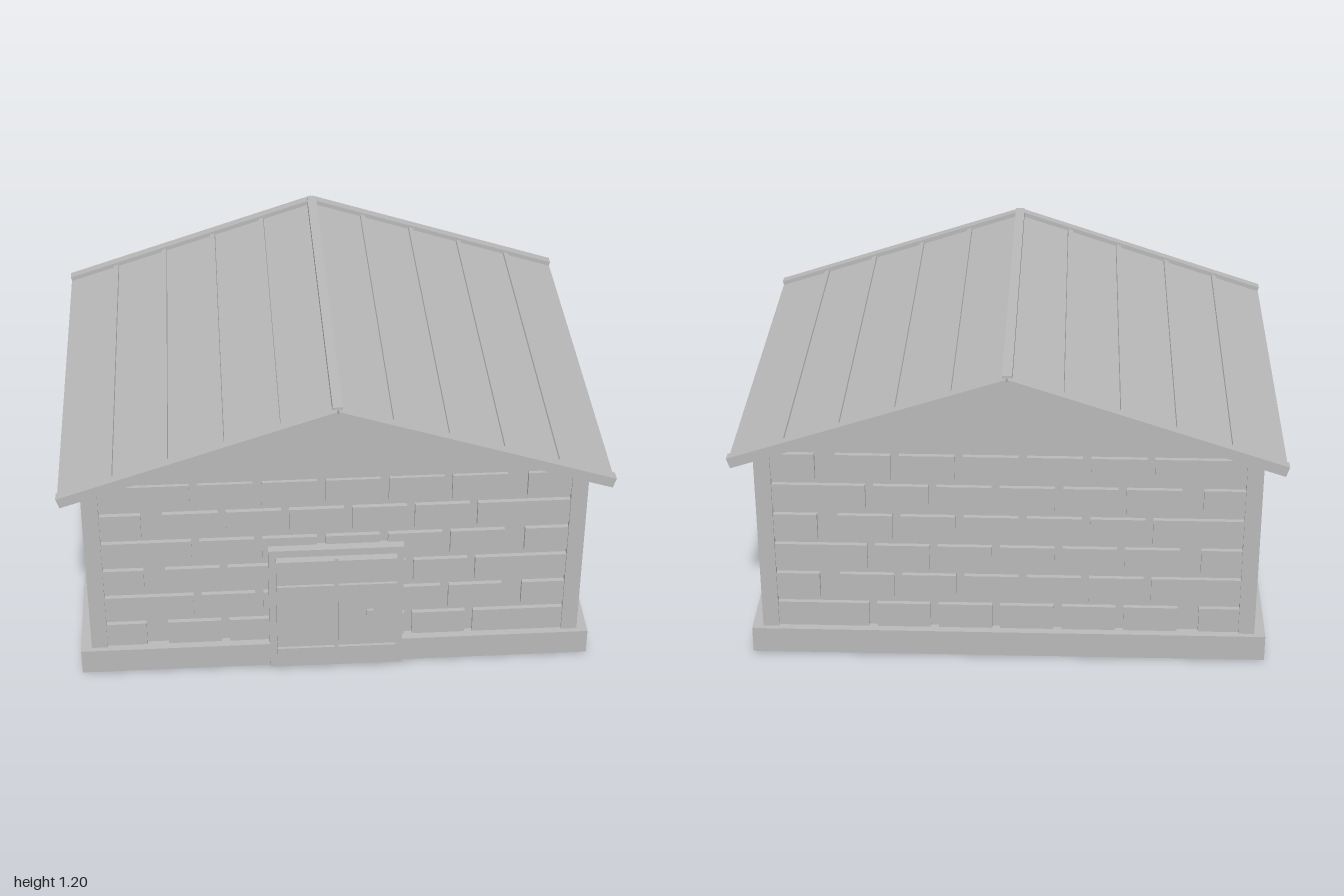
import * as THREE from 'three';

export function createModel() {
  const shed = new THREE.Group();
  shed.name = 'shed';
  const grey = new THREE.MeshStandardMaterial({ color: 0xb8b8b8 });
  grey.name = 'plain grey';

  // Box given by its minimum and maximum on each axis
  const box = (name, x0, x1, y0, y1, z0, z1, parent = shed) => {
    const mesh = new THREE.Mesh(new THREE.BoxGeometry(x1 - x0, y1 - y0, z1 - z0), grey);
    mesh.position.set((x0 + x1) / 2, (y0 + y1) / 2, (z0 + z1) / 2);
    mesh.name = name;
    parent.add(mesh);
    return mesh;
  };

  // Plinth and wall core
  box('plinth', -0.96, 0.96, 0.005, 0.107, -0.73, 0.73);
  box('walls', -0.91, 0.91, 0.107, 0.855, -0.685, 0.685);

  // Corner posts
  for (const s of [-1, 1]) {
    for (const t of [-1, 1]) {
      const post = box('cornerPost', -0.03, 0.03, 0.107, 0.855, -0.0125, 0.0125);
      post.position.x = s * 0.89;
      post.position.z = t * 0.6975;
    }
  }

  // Staggered blocks on the front and back walls
  const rowA = [[-0.86, -0.71], [0.52, 0.86]];
  for (let i = 0; i < 5; i++) rowA.push([-0.63 + i * 0.23, -0.43 + i * 0.23]);
  const rowB = [[-0.86, -0.53], [0.70, 0.86]];
  for (let i = 0; i < 5; i++) rowB.push([-0.5 + i * 0.231, -0.3 + i * 0.231]);
  const blocks = new THREE.Group();
  blocks.name = 'wallBlocks';
  shed.add(blocks);
  for (let r = 0; r < 6; r++) {
    const y = 0.109 + r * 0.1255;
    for (const [x0, x1] of r % 2 ? rowB : rowA) {
      box('block', x0, x1, y, y + 0.1, 0.68, 0.703, blocks);
      box('block', x0, x1, y, y + 0.1, -0.703, -0.68, blocks);
    }
  }

  // Gable prism closing both ends under the roof
  const gable = new THREE.Shape();
  gable.moveTo(-0.92, 0.851);
  gable.lineTo(0.92, 0.851);
  gable.lineTo(0, 1.155);
  gable.closePath();
  const gableGeo = new THREE.ExtrudeGeometry(gable, { depth: 1.42, bevelEnabled: false });
  gableGeo.translate(0, 0, -0.71);
  const gableMesh = new THREE.Mesh(gableGeo, grey);
  gableMesh.name = 'gables';
  shed.add(gableMesh);

  // Roof slopes: local x runs down the slope from the ridge
  const angle = Math.atan(0.33);
  for (const s of [1, -1]) {
    const slope = new THREE.Group();
    slope.name = s > 0 ? 'leftRoofSlope' : 'rightRoofSlope';
    slope.position.y = 1.155;
    slope.rotation.z = -s * angle;
    shed.add(slope);
    const part = (name, a, b, y0, y1, z0, z1) =>
      box(name, Math.min(s * a, s * b), Math.max(s * a, s * b), y0, y1, z0, z1, slope);
    part('roofPanel', 0, 1.042, 0.017, 0.023, -0.765, 0.765);
    for (let i = 1; i <= 4; i++) {
      const d = i * 0.2 / Math.cos(angle);
      part('standingSeam', d - 0.01, d + 0.01, 0.02, 0.031, -0.762, 0.762);
    }
    part('rakeTrim', -0.009, 1.04, 0, 0.04, 0.762, 0.8);
    part('rakeTrim', -0.009, 1.04, 0, 0.04, -0.8, -0.762);
  }
  box('ridgeCap', -0.018, 0.018, 1.17, 1.203, -0.782, 0.782);

  // Double door with surround, raised panels and a handle
  const door = new THREE.Group();
  door.name = 'door';
  shed.add(door);
  box('doorFrame', -0.25, 0.25, 0, 0.55, 0.695, 0.736, door);
  box('doorLeaf', -0.223, 0.223, 0.03, 0.52, 0.73, 0.756, door);
  for (const [x0, x1] of [[-0.223, -0.008], [0.008, 0.223]]) {
    for (const [y0, y1] of [[0.03, 0.112], [0.145, 0.405], [0.435, 0.52]]) {
      box('doorPanel', x0, x1, y0, y1, 0.75, 0.767, door);
    }
  }
  box('doorHandle', 0.11, 0.136, 0.263, 0.289, 0.76, 0.778, door);

  return shed;
}
